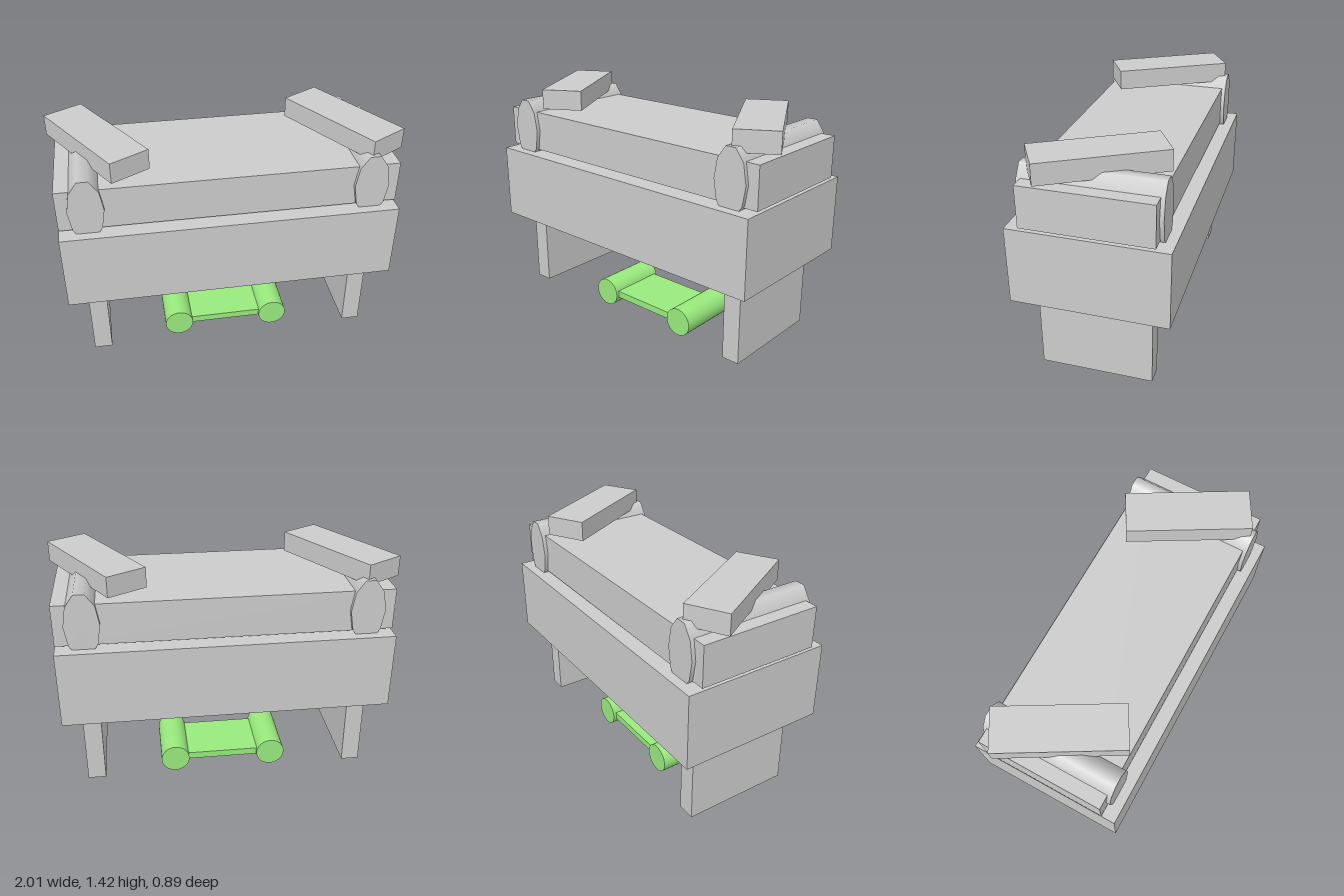
import * as THREE from 'three';

export function createModel() {
  const model = new THREE.Group();
  const grey = new THREE.MeshStandardMaterial({ color: 0xcccccc });
  const green = new THREE.MeshStandardMaterial({ color: 0x99ea7d });

  function add(name, geometry, material, x, y, z = 0) {
    const mesh = new THREE.Mesh(geometry, material);
    mesh.name = name;
    mesh.position.set(x, y, z);
    model.add(mesh);
    return mesh;
  }
  // Box given by its width, bottom, top and depth
  const box = (name, material, x, w, y0, y1, d) =>
    add(name, new THREE.BoxGeometry(w, y1 - y0, d), material, x, (y0 + y1) / 2);

  // Cylinder lying along z, with a corner at each side
  const roll = (radius, length, sides) =>
    new THREE.CylinderGeometry(radius, radius, length, sides).rotateY(Math.PI / 2).rotateX(Math.PI / 2);

  // Bench body and seat slab
  box('base', grey, 0, 1.92, 0.563, 1.015, 0.89);
  box('seat', grey, 0, 1.92, 1.03, 1.273, 0.73);

  for (const side of [-1, 1]) {
    const label = side > 0 ? 'left' : 'right';
    box(label + 'Leg', grey, side * 0.8, 0.107, 0.09, 0.563, 0.65);

    // Tall ten-sided armrest roll, sunk into the base
    add(label + 'Armrest', roll(1, 0.776, 10).scale(0.1, 0.195, 1), grey, side * 0.8, 1.155);

    // Slanted cushion, both turned the same way
    const cushion = box(label + 'Cushion', grey, side * 0.72, 0.246, 1.305, 1.425, 0.71);
    cushion.rotation.y = Math.PI / 6;

    // Footrest roll
    add(label + 'FootRoll', roll(0.0885, 0.39, 32), green, side * 0.307, 0.0905);
  }
  // Plate between the footrest rolls
  box('footPlate', green, 0, 0.61, 0.07, 0.114, 0.35);

  return model;
}
